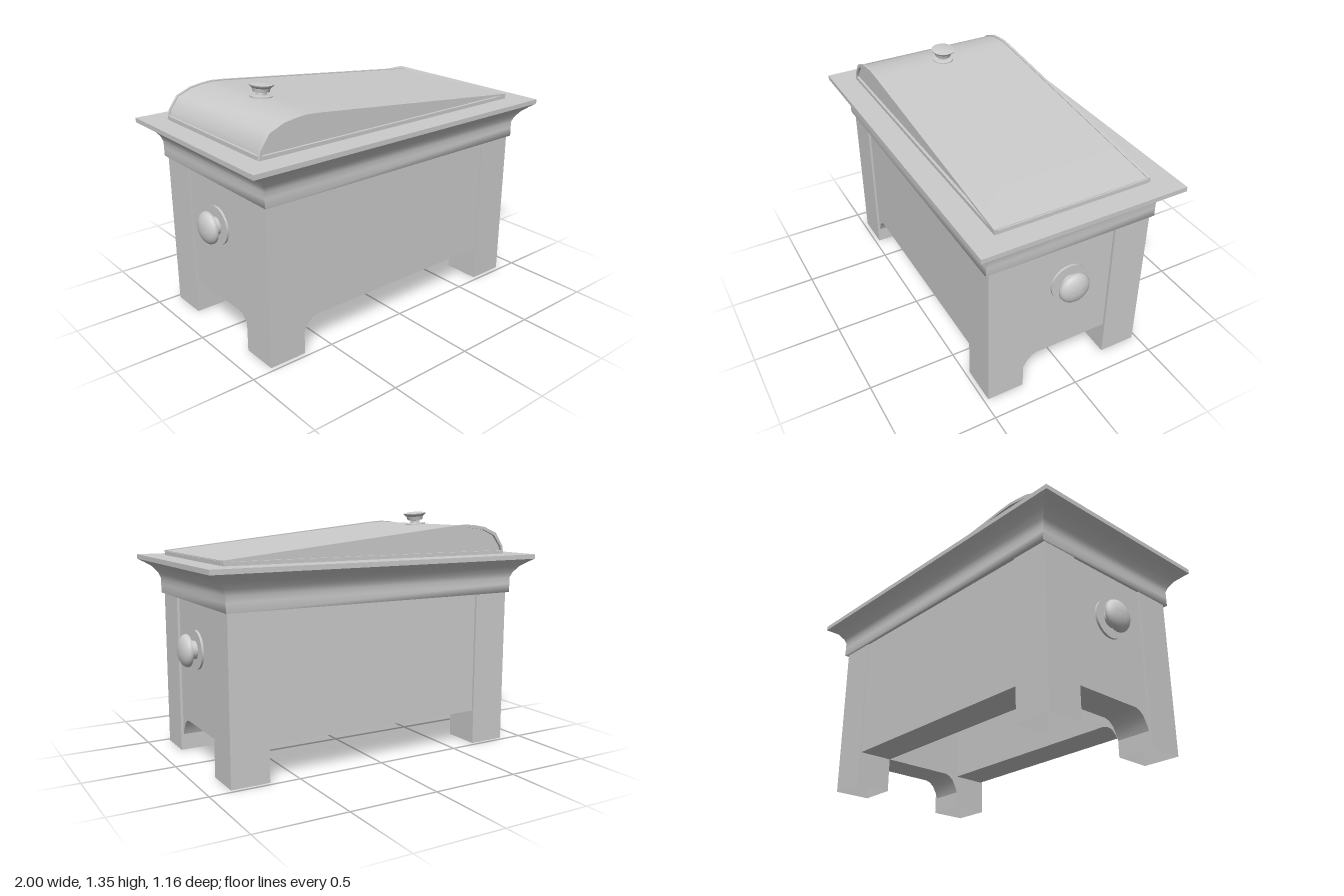
import * as THREE from 'three';
import { toCreasedNormals, mergeVertices } from 'three/addons/utils/BufferGeometryUtils.js';

const V = (x, y) => new THREE.Vector2(x, y);
const smooth = new THREE.MeshStandardMaterial({ color: 0xcccccc, side: THREE.DoubleSide });
const flat = new THREE.MeshStandardMaterial({ color: 0xcccccc, side: THREE.DoubleSide, flatShading: true });

function add(parent, name, geometry, material = flat) {
  const mesh = new THREE.Mesh(geometry, material);
  mesh.name = name;
  parent.add(mesh);
  return mesh;
}

function box(x0, x1, y0, y1, z0, z1) {
  return new THREE.BoxGeometry(x1 - x0, y1 - y0, z1 - z0)
    .translate((x0 + x1) / 2, (y0 + y1) / 2, (z0 + z1) / 2);
}

function extrude(shape, depth) {
  return new THREE.ExtrudeGeometry(shape, { depth, bevelEnabled: false });
}

function creasedLathe(points, segments) {
  const g = new THREE.LatheGeometry(points.map(([r, y]) => V(r, y)), segments);
  return toCreasedNormals(g, 0.6);
}

// Board between two legs; bracketSide (-1, 0, 1) puts a curved bracket at one end
function apron(half, bracketSide, depth) {
  const low = 0.195, top = 0.9, s = bracketSide || 1;
  const pts = [V(-s * half, top), V(-s * half, low)];
  if (bracketSide) {
    for (const [d, y] of [[0.093, low], [0.065, 0.187], [0.037, 0.165], [0.013, 0.125], [0, 0.092]])
      pts.push(V(s * (half - d), y));
  } else pts.push(V(s * half, low));
  pts.push(V(s * half, top));
  return toCreasedNormals(extrude(new THREE.Shape(pts), depth), 0.6);
}

// Rectangular moulding swept around the body: rows of [half width, half depth, y]
function moulding(rows) {
  const position = [], index = [];
  const corners = [[1, 1], [1, -1], [-1, -1], [-1, 1]];
  for (let side = 0; side < 4; side++) {
    const base = position.length / 3;
    rows.forEach(([x, z, y], i) => {
      for (const c of [corners[side], corners[(side + 1) % 4]]) position.push(c[0] * x, y, c[1] * z);
      if (i) {
        const a = base + 2 * i - 2;
        index.push(a, a + 1, a + 3, a, a + 3, a + 2);
      }
    });
  }
  const g = new THREE.BufferGeometry();
  g.setAttribute('position', new THREE.Float32BufferAttribute(position, 3));
  g.setIndex(index);
  g.computeVertexNormals();
  return g;
}

// Lid side profile; t insets it from the outer edge
function lidOutline(t, bottom) {
  return [
    V(-0.877 + t, bottom), V(-0.868 + t, 1.16), V(-0.815 + t * 0.8, 1.235 - t * 0.6),
    V(-0.73 + t * 0.4, 1.27 - t), V(-0.66, 1.281 - t), V(-0.6, 1.286 - t), V(-0.52, 1.281 - t),
    V(0.876 - t, 1.14 - t * 0.5), V(0.876 - t, bottom),
  ];
}

export function createModel() {
  const model = new THREE.Group();
  model.name = 'grillCabinet';

  // Legs, open underneath
  const legs = new THREE.Group();
  legs.name = 'legs';
  model.add(legs);
  for (const sx of [-1, 1]) for (const sz of [-1, 1]) {
    const g = new THREE.CylinderGeometry(Math.SQRT1_2, Math.SQRT1_2, 1, 4, 1, true)
      .rotateY(Math.PI / 4).scale(0.215, 0.9, 0.213)
      .translate(sx * 0.7675, 0.45, sz * 0.3685);
    add(legs, 'leg', g);
  }

  // Thick boards between the legs, set back a little from the leg faces
  add(model, 'frontApron', apron(0.66, -1, 0.2).translate(0, 0, 0.262), smooth);
  add(model, 'backApron', apron(0.66, 0, 0.2).translate(0, 0, -0.462), smooth);
  add(model, 'leftApron', apron(0.262, 1, 0.2).rotateY(-Math.PI / 2).translate(0.86, 0, 0), smooth);
  add(model, 'rightApron', apron(0.262, 1, 0.2).rotateY(-Math.PI / 2).translate(-0.66, 0, 0), smooth);

  // Flared cornice and table top
  add(model, 'cornice', moulding([
    [0.875, 0.475, 0.893], [0.887, 0.496, 0.89], [0.889, 0.493, 0.94], [0.889, 0.493, 0.975],
    [0.9, 0.503, 1.005], [0.928, 0.53, 1.043], [0.965, 0.556, 1.067], [1, 0.58, 1.087],
  ]), smooth);
  add(model, 'tableTop', box(-1, 1, 1.086, 1.112, -0.58, 0.58));

  // Curved lid with raised rims on its two long sides
  const lid = new THREE.Group();
  lid.name = 'lid';
  model.add(lid);
  const shell = extrude(new THREE.Shape(lidOutline(0.006, 1.11)), 0.86).translate(0, 0, -0.43);
  add(lid, 'lidShell', toCreasedNormals(shell, 0.7), smooth);
  const rim = new THREE.Shape(lidOutline(0, 1.11));
  rim.holes.push(new THREE.Path([
    V(-0.86, 1.132), V(-0.85, 1.16), V(-0.8, 1.222), V(-0.72, 1.255), V(-0.6, 1.27),
    V(-0.52, 1.266), V(0.84, 1.132),
  ]));
  for (const z of [-0.445, 0.428])
    add(lid, 'lidRim', toCreasedNormals(extrude(rim, 0.017).translate(0, 0, z), 0.7), smooth);
  add(lid, 'lidEndBar', box(0.86, 0.878, 1.11, 1.134, -0.43, 0.43));
  add(lid, 'lidFrontBar', box(-0.88, -0.86, 1.11, 1.134, -0.43, 0.43));

  // Lid knob, tilted with the slope
  const knob = add(model, 'lidKnob', creasedLathe([
    [0, -0.01], [0.06, -0.01], [0.06, 0.002], [0.028, 0.006], [0.026, 0.02], [0.045, 0.023],
    [0.05, 0.043], [0.066, 0.056], [0.068, 0.062], [0.04, 0.068], [0, 0.07],
  ], 24), smooth);
  knob.position.set(-0.56, 1.281, 0);
  knob.rotation.z = -0.09;

  // Round handles on both ends: backing plate, stem and domed cap
  const dome = [[0.03, 0.05], [0.088, 0.05], [0.09, 0.056]];
  for (let i = 1; i <= 8; i++) {
    const a = (i / 8) * Math.PI / 2;
    dome.push([0.09 * Math.cos(a), 0.056 + 0.046 * Math.sin(a)]);
  }
  for (const s of [-1, 1]) {
    const handle = new THREE.Group();
    handle.name = s > 0 ? 'leftHandle' : 'rightHandle';
    handle.position.set(s * 0.86, 0.632, 0);
    handle.rotation.z = -s * Math.PI / 2;
    model.add(handle);
    add(handle, 'backingPlate', creasedLathe([[0, 0], [0.107, 0], [0.107, 0.012], [0, 0.012]], 24), smooth);
    add(handle, 'stem', new THREE.CylinderGeometry(0.05, 0.05, 0.055, 24).translate(0, 0.028, 0), smooth);
    add(handle, 'domedCap', creasedLathe(dome, 24), smooth);
  }
  return model;
}
